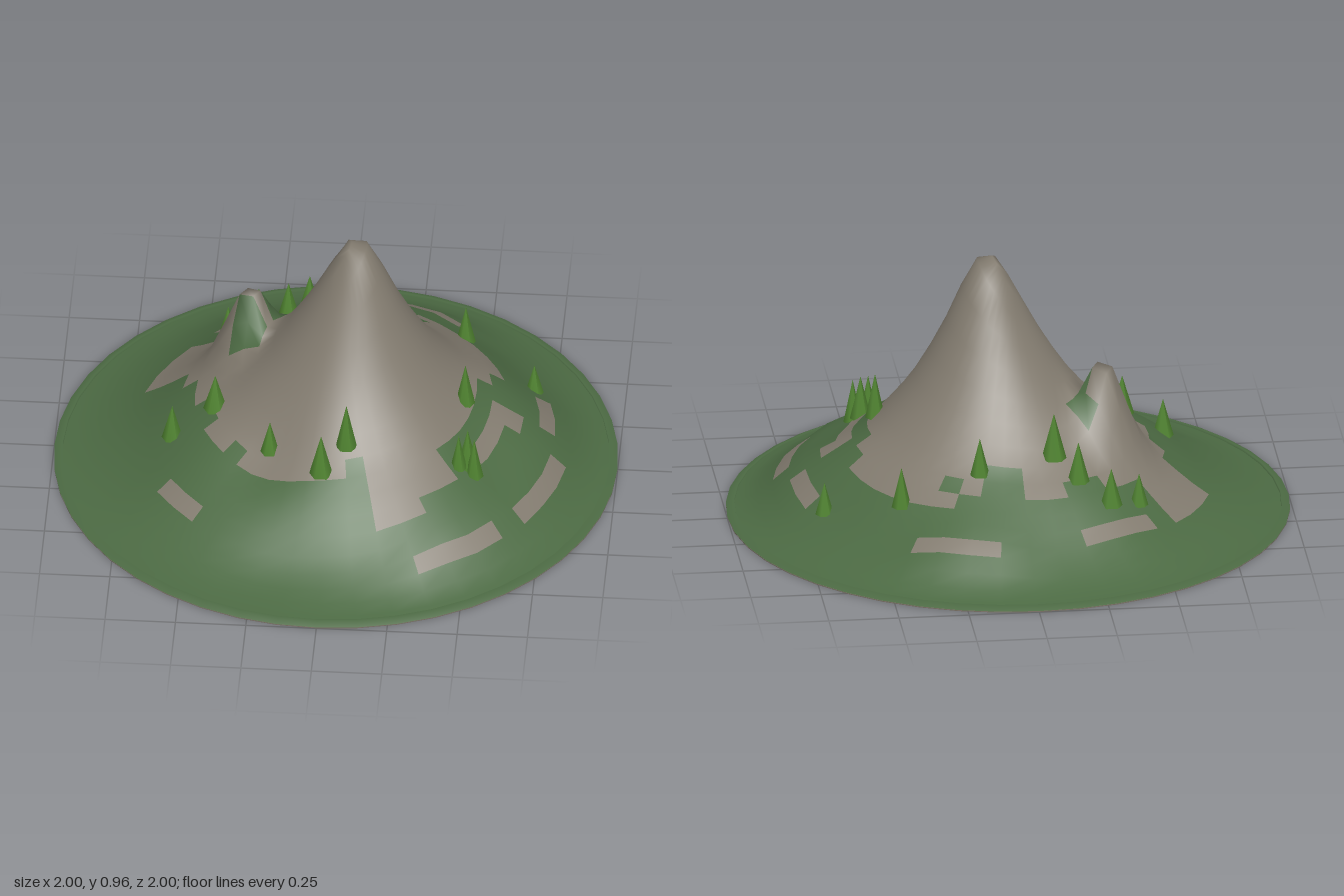
import * as THREE from 'three';

const RINGS = 18, SECTORS = 44;

// Mountain height at every 0.05 from the summit axis outwards
const PROFILE = [0.97, 0.945, 0.85, 0.74, 0.645, 0.56, 0.485, 0.425, 0.37, 0.32, 0.285,
  0.25, 0.21, 0.17, 0.128, 0.093, 0.065, 0.042, 0.023, 0.012, 0.003, 0.003];

// Local bumps and hollows: x, z, amount, spread
const BUMPS = [
  [-0.22, 0.38, -0.045, 0.11],  // front hollow
  [-0.15, 0.75, -0.02, 0.12],
  [0.56, 0.27, -0.02, 0.09],
  [0.55, -0.1, 0.015, 0.1],
  // shoulders above the rocky bands
  [0.76, 0.07, 0.05, 0.1], [0.72, 0.3, 0.045, 0.1], [0.58, 0.5, 0.05, 0.1], [0.4, 0.66, 0.05, 0.1],
  [0.75, -0.15, 0.03, 0.1], [0.32, -0.69, 0.04, 0.1], [0.12, -0.74, 0.04, 0.1],
  [-0.35, -0.61, 0.025, 0.12], [-0.56, 0.4, 0.015, 0.1],
];

// Side spire, with a cliff on the side facing the summit
const SPIRE = { x: -0.32, z: -0.17, height: 0.275 };

function spireAt(x, z) {
  const reach = Math.hypot(SPIRE.x, SPIRE.z);
  const along = -(x * SPIRE.x + z * SPIRE.z) / reach + reach;
  const across = (x * SPIRE.z - z * SPIRE.x) / reach;
  const spread = along > 0 ? 0.042 : 0.08;
  return SPIRE.height * Math.exp(-((along / spread) ** 2 + (across / 0.075) ** 2) / 2);
}

function heightAt(x, z) {
  const r = Math.hypot(x, z);
  const d = Math.min(Math.hypot(x - 0.08 * Math.max(0, 1 - r), z), 1) / 0.05;
  const i = Math.floor(d);
  const fade = Math.min(1, (1 - Math.min(r, 1)) / 0.2);
  let h = THREE.MathUtils.lerp(PROFILE[i], PROFILE[i + 1], d - i) + spireAt(x, z);
  for (const [bx, bz, amount, spread] of BUMPS) {
    h += fade * amount * Math.exp(-((x - bx) ** 2 + (z - bz) ** 2) / (2 * spread * spread));
  }
  return Math.max(h, 0.004);
}

// Number of rocky rings in each sector, counted from +x towards +z
const ROCK_LIMIT = [9, 9, 9, 9, 9, 11, 11, 12, 12, 8, 9, 9, 9, 9, 9, 9, 8, 9, 9, 8, 8, 9,
  9, 10, 13, 13, 13, 10, 10, 9, 9, 10, 10, 8, 8, 10, 11, 11, 11, 11, 11, 11, 10, 9];

// Stray patches: ring, first sector, end sector
const ROCK_PATCHES = [[13, 42, 44], [14, 1, 4], [14, 5, 8], [12, 16, 18], [13, 34, 37],
  [12, 28, 31], [10, 0, 4], [11, 0, 1]];
const GRASS_PATCHES = [[9, 36, 37], [5, 23, 25], [6, 23, 25], [5, 26, 28], [6, 27, 28]];

function isRock(ring, sector) {
  const inPatch = ([r, from, to]) => r === ring && sector >= from && sector < to;
  if (GRASS_PATCHES.some(inPatch)) return false;
  return ring < ROCK_LIMIT[sector] || ROCK_PATCHES.some(inPatch);
}

// Polar height field, rock faces in group 0 and grass faces in group 1
function terrainGeometry() {
  const positions = [0, heightAt(0, 0), 0];
  for (let i = 1; i <= RINGS; i++) {
    for (let k = 0; k < SECTORS; k++) {
      const a = (k / SECTORS) * Math.PI * 2, r = i / RINGS;
      const x = r * Math.cos(a), z = r * Math.sin(a);
      positions.push(x, heightAt(x, z), z);
    }
  }
  const id = (i, k) => (i === 0 ? 0 : 1 + (i - 1) * SECTORS + (k % SECTORS));
  const rock = [], grass = [];
  for (let i = 0; i < RINGS; i++) {
    for (let k = 0; k < SECTORS; k++) {
      const list = isRock(i, k) ? rock : grass;
      list.push(id(i, k), id(i + 1, k + 1), id(i + 1, k));
      if (i > 0) list.push(id(i, k), id(i, k + 1), id(i + 1, k + 1));
    }
  }
  const geo = new THREE.BufferGeometry();
  geo.setAttribute('position', new THREE.Float32BufferAttribute(positions, 3));
  geo.setIndex([...rock, ...grass]);
  geo.addGroup(0, rock.length, 0);
  geo.addGroup(rock.length, grass.length, 1);
  geo.computeVertexNormals();
  return geo;
}

// Trees: x, z, radius, height
const TREES = [
  [-0.57, 0.16, 0.038, 0.14], [-0.42, 0.12, 0.043, 0.145], [-0.21, 0.35, 0.034, 0.13],
  [-0.02, 0.47, 0.042, 0.165], [0.065, 0.4, 0.038, 0.18], [0.465, 0.08, 0.035, 0.165],
  [0.49, 0.32, 0.038, 0.16], [0.46, 0.345, 0.03, 0.14], [0.515, 0.345, 0.033, 0.16],
  [0.685, -0.28, 0.033, 0.12], [0.43, -0.45, 0.035, 0.15], [0.15, -0.445, 0.035, 0.14],
  [-0.12, -0.39, 0.045, 0.17], [-0.2, -0.455, 0.04, 0.15], [-0.31, -0.52, 0.04, 0.14],
  [-0.415, -0.465, 0.033, 0.12],
];

export function createModel() {
  const mat = (name, color) => {
    const m = new THREE.MeshStandardMaterial({ color });
    m.name = name;
    return m;
  };
  const rock = mat('rock', 0x827b6f);
  const grass = mat('grass', 0x4c6a43);
  const foliage = mat('foliage', 0x4f8230);
  const earth = mat('earth', 0x766e62);

  const model = new THREE.Group();
  model.name = 'mountain';
  const add = (name, geo, material, parent = model) => {
    const mesh = new THREE.Mesh(geo, material);
    mesh.name = name;
    parent.add(mesh);
    return mesh;
  };

  add('terrain', terrainGeometry(), [rock, grass]);

  // Thin earth plate under the terrain
  add('base', new THREE.CylinderGeometry(1, 1, 0.003, SECTORS), earth).position.y = 0.0015;

  // Low grassy lip around the edge
  const lip = [[1, 0.004], [0.97, 0.018], [0.968, 0.004]].map(([r, y]) => new THREE.Vector2(r, y));
  add('rim', new THREE.LatheGeometry(lip, SECTORS, Math.PI / 2), grass);

  // Scattered conifers
  const trees = new THREE.Group();
  trees.name = 'trees';
  model.add(trees);
  for (const [x, z, radius, height] of TREES) {
    const tree = add('tree', new THREE.ConeGeometry(radius, height, 6), foliage, trees);
    tree.position.set(x, heightAt(x, z) - 0.01 + height / 2, z);
    tree.rotation.y = Math.PI / 6;
  }
  return model;
}
